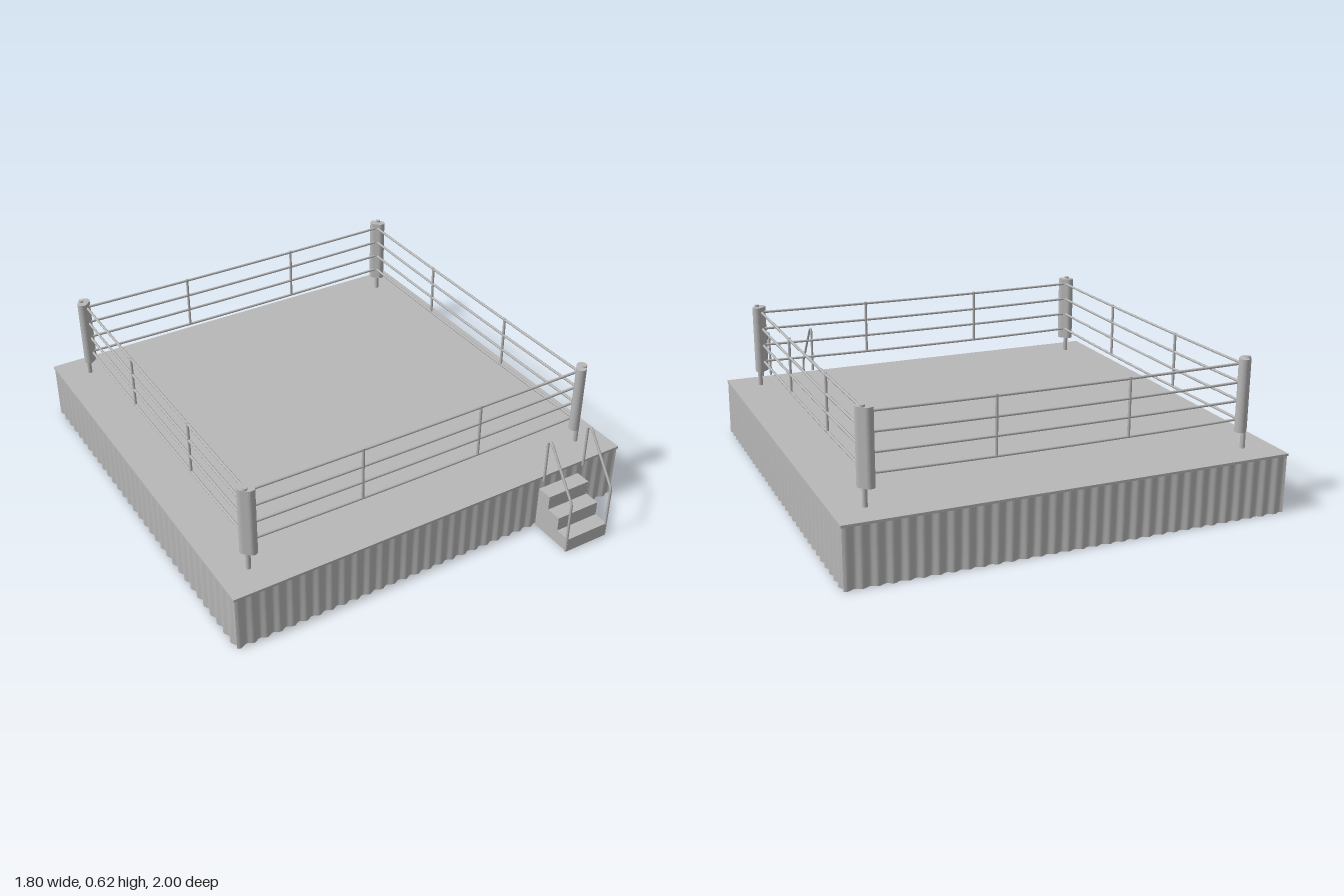
import * as THREE from 'three';

const DECK_Y = 0.245, CENTER_Z = -0.1, HALF = 0.9;

export function createModel() {
  const grey = new THREE.MeshStandardMaterial({ color: 0xb8b8b8, side: THREE.DoubleSide });
  grey.name = 'plain grey';
  const model = new THREE.Group();
  model.name = 'ring';

  const add = (parent, name, geometry, x = 0, y = 0, z = 0) => {
    const mesh = new THREE.Mesh(geometry, grey);
    mesh.name = name;
    mesh.position.set(x, y, z);
    parent.add(mesh);
    return mesh;
  };

  // Everything square about the deck centre
  const ring = new THREE.Group();
  ring.name = 'platform';
  ring.position.z = CENTER_Z;
  model.add(ring);

  // Thin deck, open underneath
  add(ring, 'deck', new THREE.BoxGeometry(2 * HALF, 0.01, 2 * HALF), 0, DECK_Y - 0.005, 0);

  // Pleated skirt: folds deepen toward the floor
  const skirtHeight = DECK_Y - 0.005;
  const skirtGeo = new THREE.PlaneGeometry(2 * HALF - 0.008, skirtHeight, 256, 3);
  const pos = skirtGeo.attributes.position;
  for (let i = 0; i < pos.count; i++) {
    const drop = 0.5 - pos.getY(i) / skirtHeight;
    const t = (pos.getX(i) / (2 * HALF - 0.008)) * 32 * Math.PI * 2;
    pos.setZ(i, (0.004 + 0.002 * drop) * Math.sin(t));
  }
  skirtGeo.computeVertexNormals();

  // Sagging rope
  const ropeGeo = (sag) => new THREE.TubeGeometry(new THREE.QuadraticBezierCurve3(
    new THREE.Vector3(-0.757, 0, 0),
    new THREE.Vector3(0, -2 * sag, 0),
    new THREE.Vector3(0.757, 0, 0)), 16, 0.0055, 8);

  // Corner pad outline: a stadium, wide across the corner
  const r = 0.0215, w = 0.0135;
  const pad = new THREE.Shape();
  pad.moveTo(-w, -r);
  pad.lineTo(w, -r);
  pad.absarc(w, 0, r, -Math.PI / 2, Math.PI / 2, false);
  pad.lineTo(-w, r);
  pad.absarc(-w, 0, r, Math.PI / 2, Math.PI * 1.5, false);
  const padGeo = new THREE.ExtrudeGeometry(pad, { depth: 0.295, bevelEnabled: false, curveSegments: 8 });
  padGeo.rotateX(-Math.PI / 2);
  padGeo.translate(0, 0.315, 0);

  for (let k = 0; k < 4; k++) {
    const side = new THREE.Group();
    side.name = 'ringSide' + (k + 1);
    side.rotation.y = k * Math.PI / 2;
    ring.add(side);

    add(side, 'skirt', skirtGeo, 0, skirtHeight / 2, HALF - 0.004);
    for (let i = 0; i < 4; i++) {
      add(side, 'rope', ropeGeo(i % 2 ? 0.005 : 0.007), 0, 0.36 + i * 0.0755, 0.757);
    }
    for (const x of [-0.27, 0.27]) {
      add(side, 'ropeTie', new THREE.CylinderGeometry(0.006, 0.006, 0.232, 8), x, 0.473, 0.757);
    }

    // Corner post runs down through the deck to the floor
    add(side, 'cornerPost', new THREE.CylinderGeometry(0.01, 0.01, 0.618, 12), 0.773, 0.309, 0.773);
    add(side, 'cornerPad', padGeo, 0.765, 0, 0.765).rotation.y = Math.PI / 4;
  }

  // Steps: hollow folded treads and risers with stepped side panels
  const steps = new THREE.Group();
  steps.name = 'steps';
  model.add(steps);
  const x0 = 0.488, x1 = 0.69, cx = (x0 + x1) / 2, width = x1 - x0;
  const rise = 0.0625, run = 0.0667;
  const profile = new THREE.Shape();
  profile.moveTo(0.8, 0);
  profile.lineTo(1, 0);
  for (let i = 0; i < 3; i++) {
    const front = 1 - i * run, y = i * rise;
    const riser = new THREE.PlaneGeometry(width, rise);
    add(steps, 'riser', riser, cx, y + rise / 2, front - 0.001);
    const tread = new THREE.PlaneGeometry(width, run);
    tread.rotateX(-Math.PI / 2);
    add(steps, 'tread', tread, cx, y + rise, front - run / 2);
    profile.lineTo(front, y + rise);
    profile.lineTo(front - run, y + rise);
  }
  profile.closePath();
  for (const [x, s] of [[x0, -1], [x1, 1]]) {
    const panel = new THREE.ShapeGeometry(profile);
    panel.rotateY(-Math.PI / 2);
    // Turn the right-hand panel's faces outward
    if (s > 0) {
      const idx = panel.index;
      for (let i = 0; i < idx.count; i += 3) {
        const a = idx.getX(i);
        idx.setX(i, idx.getX(i + 1));
        idx.setX(i + 1, a);
      }
      panel.computeVertexNormals();
    }
    add(steps, 'stepSide', panel, x, 0, 0);

    // Handrail: upright, slope, rounded crest, drop to the deck
    const v = (y, z) => new THREE.Vector3(x, y, z);
    const rail = new THREE.CurvePath();
    rail.add(new THREE.LineCurve3(v(0, 0.994), v(0.225, 0.994)));
    rail.add(new THREE.QuadraticBezierCurve3(v(0.225, 0.994), v(0.238, 0.994), v(0.25, 0.985)));
    rail.add(new THREE.LineCurve3(v(0.25, 0.985), v(0.425, 0.855)));
    rail.add(new THREE.CubicBezierCurve3(v(0.425, 0.855), v(0.45, 0.838), v(0.443, 0.822), v(0.415, 0.822)));
    rail.add(new THREE.LineCurve3(v(0.415, 0.822), v(0.242, 0.822)));
    add(steps, 'handrail', new THREE.TubeGeometry(rail, 80, 0.0055, 8), 0, 0, 0);
  }
  return model;
}
